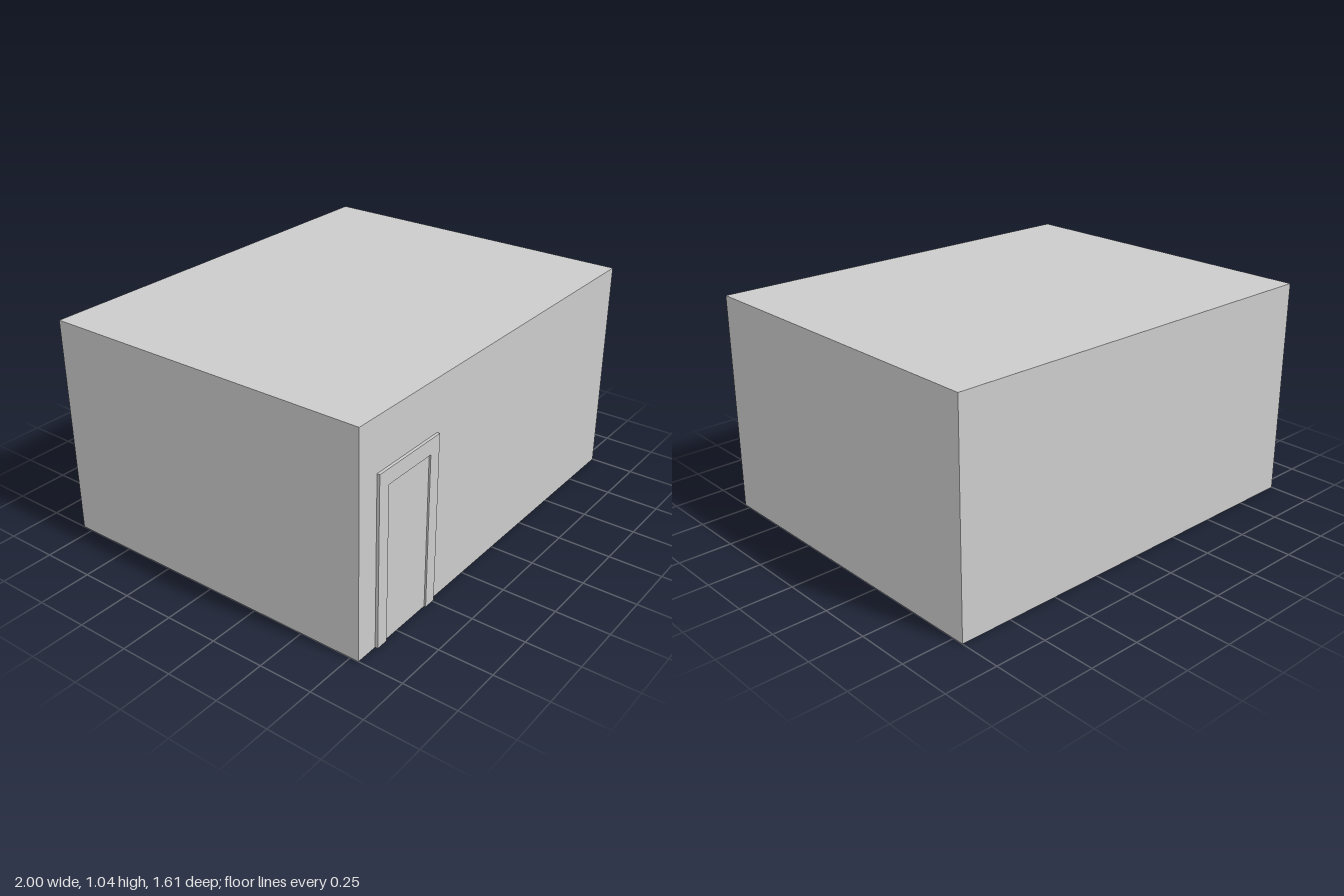
import * as THREE from 'three';

const W = 2, H = 1.04, BACK = -0.803, FRONT = 0.79;
const DEPTH = FRONT - BACK, MID = (FRONT + BACK) / 2;

export function createModel() {
  const model = new THREE.Group();
  model.name = 'room';
  const mat = new THREE.MeshStandardMaterial({ color: 0xcccccc, flatShading: true });
  const thin = mat.clone();
  thin.side = THREE.DoubleSide;

  const add = (name, geometry, x, y, z, material = mat, parent = model) => {
    const mesh = new THREE.Mesh(geometry, material);
    mesh.name = name;
    mesh.position.set(x, y, z);
    parent.add(mesh);
    return mesh;
  };

  // Thin walls and flat roof: a box without its bottom face
  const shell = new THREE.BoxGeometry(W, H, DEPTH);
  const index = Array.from(shell.index.array);
  index.splice(18, 6);
  shell.setIndex(index);
  shell.clearGroups();
  add('wallsAndRoof', shell, 0, H / 2, MID, thin);

  // Low skirting along the inside of the walls
  const sh = 0.045, st = 0.006;
  for (const s of [-1, 1]) {
    add('skirtingSide', new THREE.BoxGeometry(st, sh, DEPTH - 0.004),
      s * (W / 2 - st / 2 - 0.002), sh / 2, MID);
    add('skirtingEnd', new THREE.BoxGeometry(W - 0.016, sh, st),
      0, sh / 2, MID + s * (DEPTH / 2 - st / 2 - 0.002));
  }

  // Door: a frame standing proud of both sides of the wall, with a set-back panel
  const door = new THREE.Group();
  door.name = 'door';
  door.position.set(-0.69, 0, FRONT);
  model.add(door);
  const fw = 0.2, fh = 0.8, ow = 0.14, oh = 0.73, t = 0.026;
  const frame = new THREE.Shape([
    [-fw, 0], [-ow, 0], [-ow, oh], [ow, oh], [ow, 0], [fw, 0], [fw, fh], [-fw, fh],
  ].map(([x, y]) => new THREE.Vector2(x, y)));
  add('doorFrame', new THREE.ExtrudeGeometry(frame, { depth: t, bevelEnabled: false }),
    0, 0, -t / 2, mat, door);
  add('doorPanel', new THREE.BoxGeometry(ow * 2, oh, 0.01), 0, oh / 2, 0, mat, door);

  return model;
}
